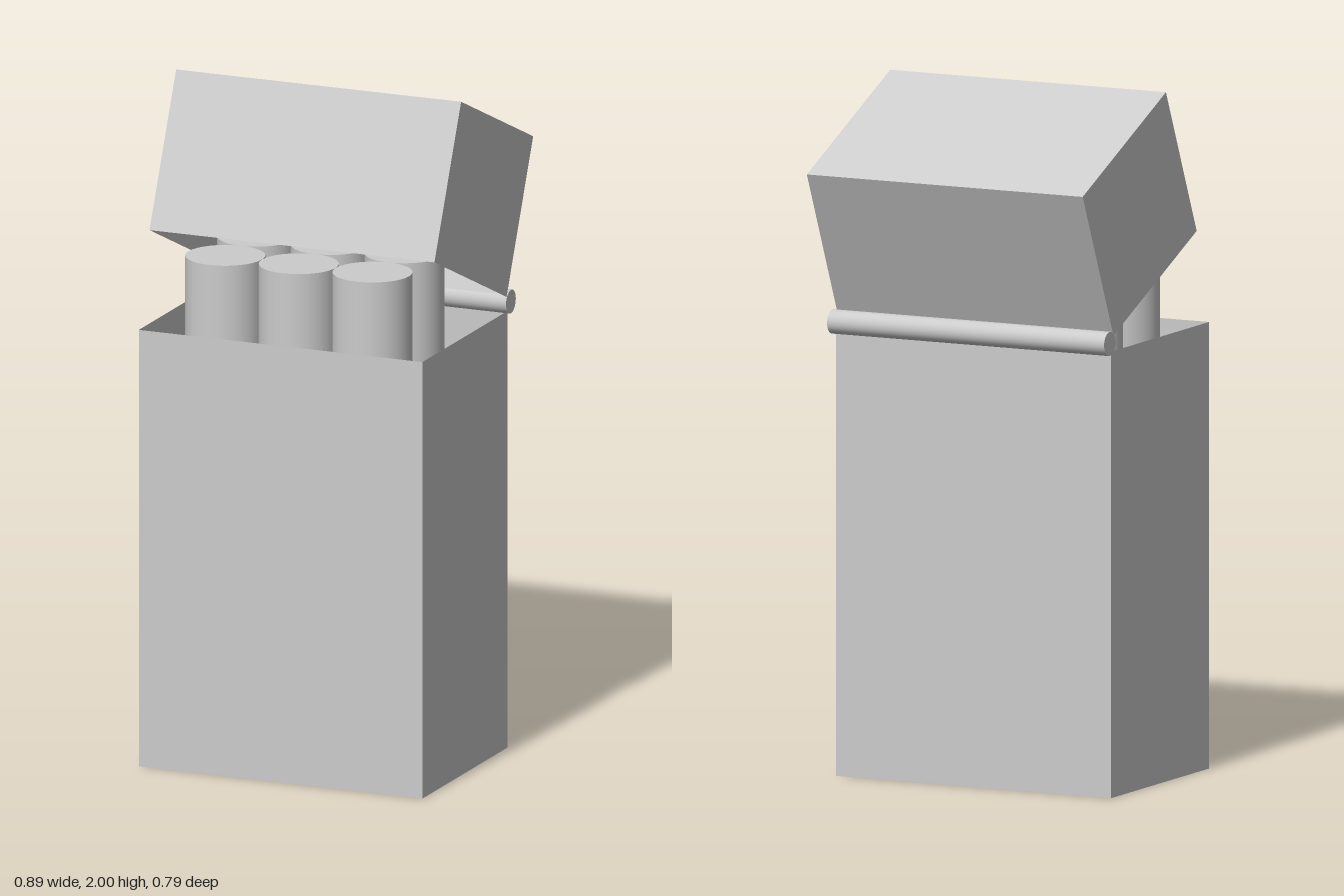
import * as THREE from 'three';

const material = new THREE.MeshStandardMaterial({ color: 0xcccccc });
const sheetMaterial = new THREE.MeshStandardMaterial({ color: 0xcccccc, side: THREE.DoubleSide });

// Thin-walled box with one face left out (2 = top, 3 = bottom)
function openBox(name, width, height, depth, openFace) {
  const geometry = new THREE.BoxGeometry(width, height, depth);
  const index = Array.from(geometry.index.array);
  index.splice(openFace * 6, 6);
  geometry.setIndex(index);
  geometry.clearGroups();
  const mesh = new THREE.Mesh(geometry, sheetMaterial);
  mesh.name = name;
  return mesh;
}

export function createModel() {
  const model = new THREE.Group();
  model.name = 'hingedBox';

  // Body, open at the top
  const body = openBox('body', 0.886, 1.295, 0.612, 2);
  body.position.set(0, 1.295 / 2, 0.09);
  model.add(body);

  // Lid, open underneath and tipped back
  const lid = openBox('lid', 0.89, 0.47, 0.567, 3);
  lid.position.set(0, 1.67, -0.04);
  lid.rotation.x = THREE.MathUtils.degToRad(-24);
  model.add(lid);

  // Hinge rod along the back edge
  const hinge = new THREE.Mesh(new THREE.CylinderGeometry(0.035, 0.035, 0.894, 32), material);
  hinge.name = 'hinge';
  hinge.rotation.z = Math.PI / 2;
  hinge.position.set(0, 1.32, -0.23);
  model.add(hinge);

  // Two rows of three rods standing inside
  const rods = new THREE.Group();
  rods.name = 'rods';
  const bottom = 0.02, top = 1.483;
  const rodGeometry = new THREE.CylinderGeometry(0.115, 0.115, top - bottom, 32);
  for (const z of [0.185, -0.045]) {
    for (const x of [-0.265, -0.035, 0.195]) {
      const rod = new THREE.Mesh(rodGeometry, material);
      rod.name = 'rod';
      rod.position.set(x, (top + bottom) / 2, z);
      rods.add(rod);
    }
  }
  model.add(rods);

  return model;
}
